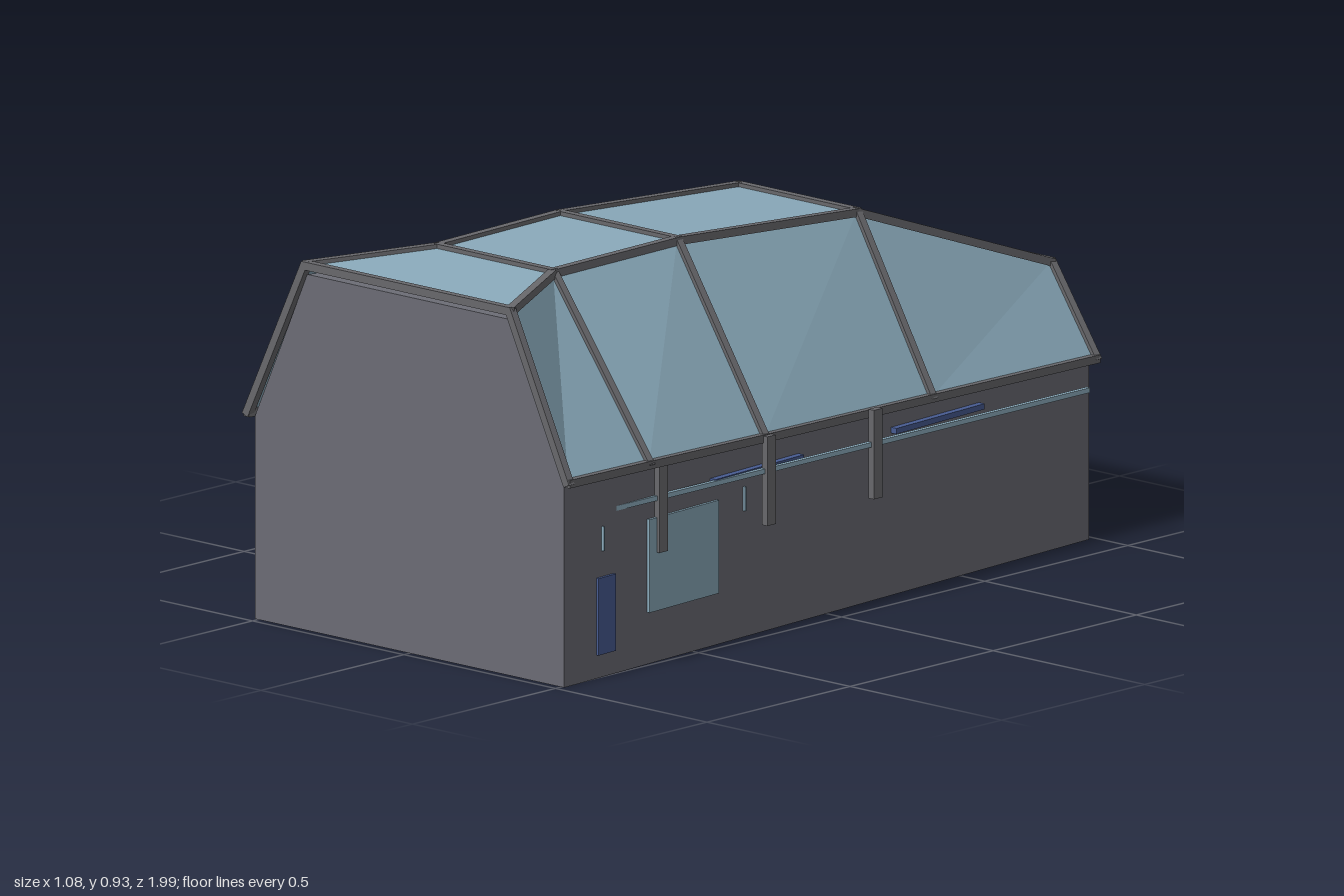
import * as THREE from 'three';

const material = (name, color) => {
  const m = new THREE.MeshStandardMaterial({ color, flatShading: true });
  m.name = name;
  return m;
};

// Roof stations, front to back: z, eave x, eave y, ridge x, ridge y
const STATIONS = [
  [0.985, 0.528, 0.508, 0.338, 0.903],
  [0.68, 0.507, 0.498, 0.19, 0.918],
  [0.25, 0.481, 0.484, 0.193, 0.923],
  [-0.375, 0.443, 0.466, 0.195, 0.883],
  [-0.985, 0.408, 0.449, 0.26, 0.663],
];
const wallX = z => 0.51 - 0.0612 * (0.98 - z);
const WALL_YAW = Math.atan(0.0612);

// Flat-shaded surface through matching cross-sections
function loft(sections, closed) {
  const out = [];
  const tri = (...pts) => pts.forEach(p => out.push(p.x, p.y, p.z));
  const n = sections[0].length;
  for (let i = 0; i < sections.length - 1; i++) {
    const F = sections[i], B = sections[i + 1];
    for (let j = 0; j < (closed ? n : n - 1); j++) {
      const k = (j + 1) % n;
      tri(F[j], B[k], F[k]);
      tri(F[j], B[j], B[k]);
    }
  }
  if (closed) {
    const F = sections[0], B = sections[sections.length - 1];
    for (let j = 1; j < n - 1; j++) {
      tri(F[0], F[j], F[j + 1]);
      tri(B[0], B[j + 1], B[j]);
    }
  }
  const g = new THREE.BufferGeometry();
  g.setAttribute('position', new THREE.Float32BufferAttribute(out, 3));
  g.computeVertexNormals();
  return g;
}

export function createModel() {
  const model = new THREE.Group();
  const wallMat = material('wall grey', 0x6b6c75);
  const frameMat = material('frame grey', 0x68686c);
  const glassMat = material('blue glass', 0x8aaabb);
  glassMat.side = THREE.DoubleSide;
  const navyMat = material('navy', 0x485c92);

  const add = (parent, name, geometry, mat) => {
    const mesh = new THREE.Mesh(geometry, mat);
    mesh.name = name;
    parent.add(mesh);
    return mesh;
  };
  const V = (x, y, z) => new THREE.Vector3(x, y, z);

  // Solid body, following the roof just underneath it
  const bodySections = STATIONS.map(([z, , ey, rx, ry]) => {
    const zz = THREE.MathUtils.clamp(z, -0.98, 0.98), w = wallX(zz);
    const y = ey - 0.006, top = ry - 0.024;
    return [V(w, 0, zz), V(w, y, zz), V(rx, top, zz), V(-rx, top, zz), V(-w, y, zz), V(-w, 0, zz)];
  });
  add(model, 'body', loft(bodySections, true), wallMat);

  // Glass roof panels
  const roof = STATIONS.map(([z, ex, ey, rx, ry]) =>
    [V(ex, ey, z), V(rx, ry, z), V(-rx, ry, z), V(-ex, ey, z)]);
  add(model, 'roofGlass', loft(roof, false), glassMat);

  // Roof frame bars across and along the panels
  const frame = new THREE.Group();
  frame.name = 'roofFrame';
  model.add(frame);
  const bar = (name, a, b) => {
    const m = add(frame, name, new THREE.BoxGeometry(0.02, 0.02, a.distanceTo(b) + 0.012), frameMat);
    m.position.copy(a).add(b).multiplyScalar(0.5);
    m.lookAt(b);
  };
  roof.forEach((section, i) => {
    for (let j = 0; j < 3; j++) bar('crossBar', section[j], section[j + 1]);
    if (i < roof.length - 1) section.forEach((p, j) => bar('longBar', p, roof[i + 1][j]));
  });

  // Fittings on both side walls
  for (const s of [1, -1]) {
    const side = new THREE.Group();
    side.name = s > 0 ? 'leftFittings' : 'rightFittings';
    model.add(side);
    const box = (name, mat, size, x, y, z, yaw = 0) => {
      const m = add(side, name, new THREE.BoxGeometry(...size), mat);
      m.position.set(s * x, y, z);
      m.rotation.y = s * yaw;
    };
    const plate = (name, mat, z, y, length, height, depth = 0.009) =>
      box(name, mat, [depth, height, length], wallX(z) + 0.003, y, z, WALL_YAW);

    plate('window', glassMat, 0.54, 0.243, 0.26, 0.23);
    plate('door', navyMat, 0.828, 0.153, 0.064, 0.19);
    for (const z of [0.27, -0.405]) plate('slotWindow', navyMat, z, 0.408, 0.33, 0.014, 0.03);
    for (const z of [0.838, 0.31]) plate('sideStrip', glassMat, z, 0.342, 0.005, 0.06);

    box('rail', glassMat, [0.012, 0.012, 1.7], 0.492, 0.406, -0.02);
    for (const z of [0.627, 0.25, -0.122])
      box('post', frameMat, [0.018, 0.22, 0.03], 0.496, 0.382, z);
  }
  return model;
}
